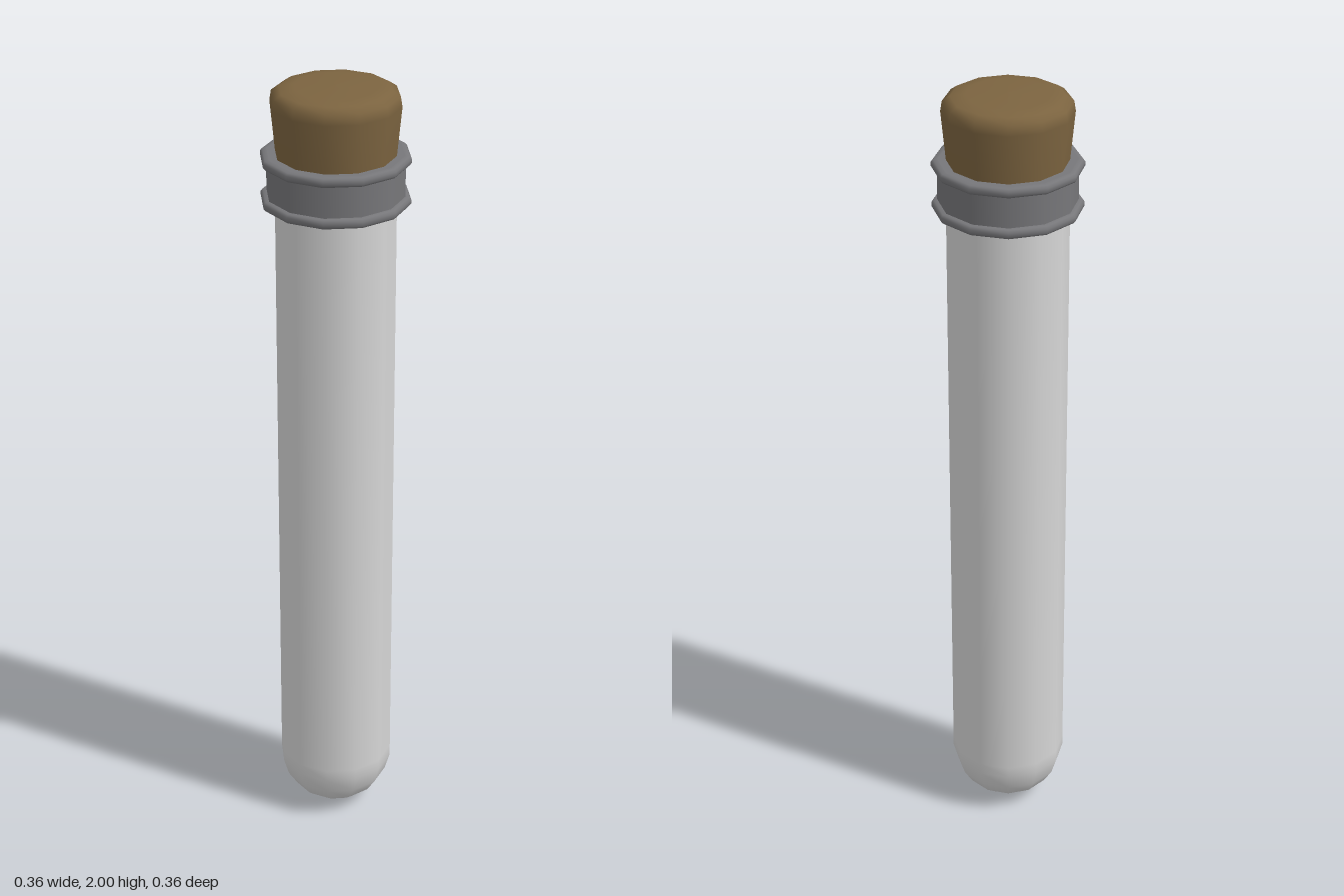
import * as THREE from 'three';

const SIDES = 12;

// Turned part from [radius, height] pairs, listed from bottom to top
function turned(name, profile, material) {
  const points = profile.map(([r, y]) => new THREE.Vector2(r, y));
  const mesh = new THREE.Mesh(new THREE.LatheGeometry(points, SIDES), material);
  mesh.name = name;
  return mesh;
}

export function createModel() {
  const paint = (name, color) => new THREE.MeshStandardMaterial({ name, color });
  const glass = paint('pale glass', 0xd6d6d6);
  const metal = paint('grey metal', 0x77777a);
  const cork = paint('brown cork', 0x7c6440);

  const model = new THREE.Group();
  model.name = 'corkedTube';

  // Long tube with a rounded bottom, closed under the stopper
  model.add(turned('tube', [
    [0, 0], [0.04, 0.008], [0.078, 0.022], [0.11, 0.048],
    [0.134, 0.085], [0.147, 0.13], [0.147, 0.16], [0.147, 1.74],
  ], glass));

  // Collar band and its top and bottom closing faces
  model.add(turned('collarBand', [[0.167, 1.72], [0.167, 1.825]], metal));
  model.add(turned('collarUnderside', [[0.14, 1.712], [0.17, 1.712]], metal));
  model.add(turned('collarTop', [[0.17, 1.834], [0.13, 1.834]], metal));

  // Rounded rims at both edges of the collar
  for (const [name, y] of [['lowerRim', 1.722], ['upperRim', 1.824]]) {
    model.add(turned(name, [
      [0.166, y - 0.012], [0.176, y - 0.011], [0.181, y - 0.005],
      [0.181, y + 0.005], [0.176, y + 0.011], [0.166, y + 0.012],
    ], metal));
  }

  // Tapered stopper with a softened top edge
  model.add(turned('stopper', [
    [0.14, 1.76], [0.145, 1.83], [0.157, 1.955], [0.153, 1.98],
    [0.135, 1.992], [0.1, 1.998], [0, 2],
  ], cork));

  return model;
}
